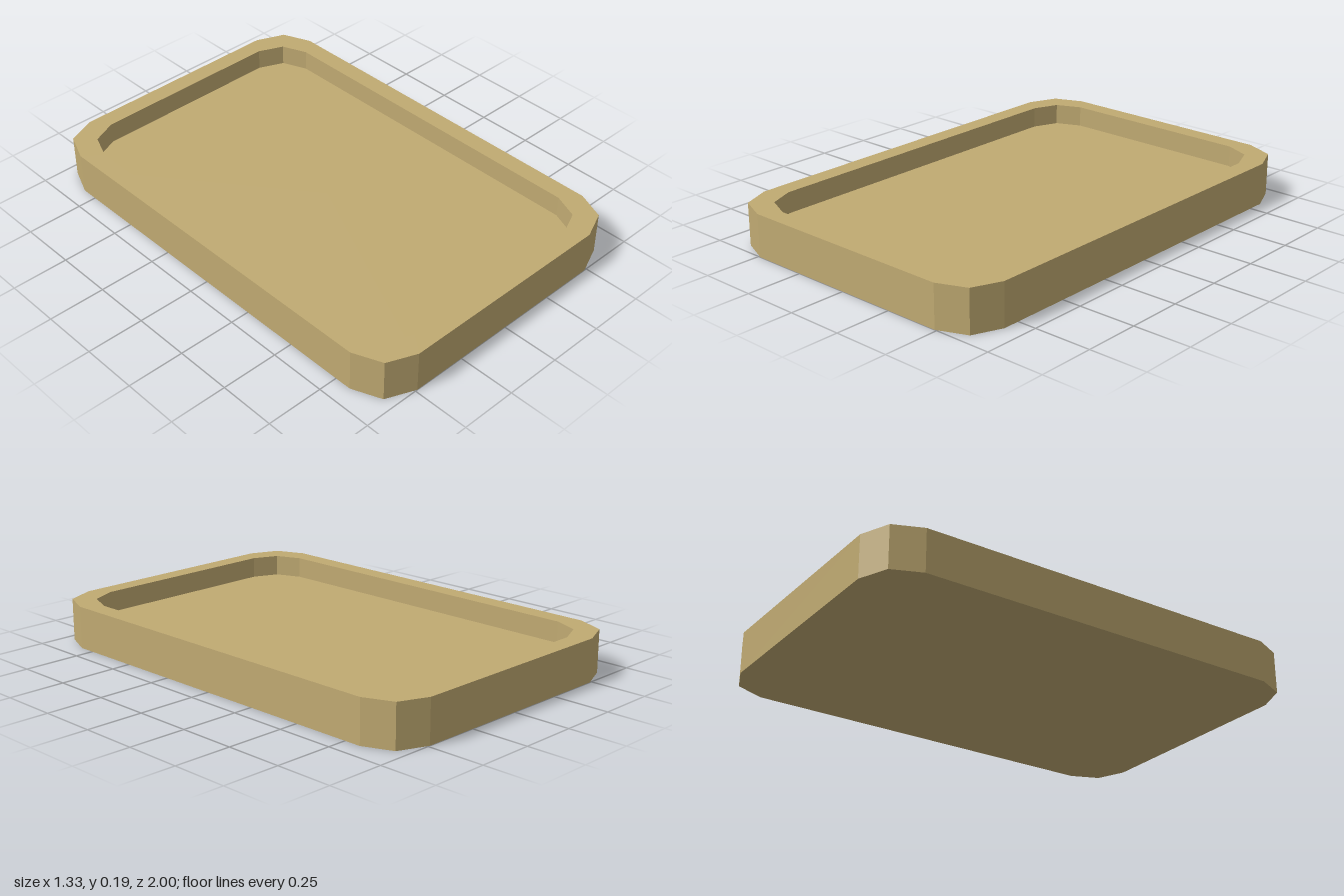
import * as THREE from 'three';

// One quarter of an outline, mirrored into a closed loop, counter-clockwise from above
function outline(quarter, y) {
  const loop = [];
  for (const [sx, sz] of [[1, -1], [-1, -1], [-1, 1], [1, 1]]) {
    const points = sx * sz < 0 ? quarter : [...quarter].reverse();
    for (const [x, z] of points) loop.push(new THREE.Vector3(sx * x, y, sz * z));
  }
  return loop;
}

// Joins successive loops with flat faces
function skin(loops) {
  const positions = [];
  const triangle = (a, b, c) => {
    if (a.equals(b) || b.equals(c) || c.equals(a)) return;
    for (const p of [a, b, c]) positions.push(p.x, p.y, p.z);
  };
  for (let k = 0; k < loops.length - 1; k++) {
    const a = loops[k], b = loops[k + 1];
    for (let i = 0; i < a.length; i++) {
      const j = (i + 1) % a.length;
      triangle(a[i], a[j], b[j]);
      triangle(a[i], b[j], b[i]);
    }
  }
  const geometry = new THREE.BufferGeometry();
  geometry.setAttribute('position', new THREE.Float32BufferAttribute(positions, 3));
  geometry.computeVertexNormals();
  return geometry;
}

export function createModel() {
  const group = new THREE.Group();
  group.name = 'tray';
  const tan = new THREE.MeshStandardMaterial({ color: 0xc0aa72 });
  tan.name = 'tan';

  const height = 0.185, floorHeight = 0.093;
  const outer = [[0.667, 0.823], [0.615, 0.948], [0.49, 1]];
  const inner = [[0.586, 0.762], [0.541, 0.873], [0.432, 0.92]];
  const centre = [[0, 0], [0, 0], [0, 0]];

  // Underside, outer wall, rim and inner wall
  const body = new THREE.Mesh(skin([
    outline(centre, 0), outline(outer, 0), outline(outer, height),
    outline(inner, height), outline(inner, floorHeight),
  ]), tan);
  body.name = 'trayBody';

  // Recessed floor
  const floor = new THREE.Mesh(skin([outline(inner, floorHeight), outline(centre, floorHeight)]), tan);
  floor.name = 'trayFloor';

  group.add(body, floor);
  return group;
}
